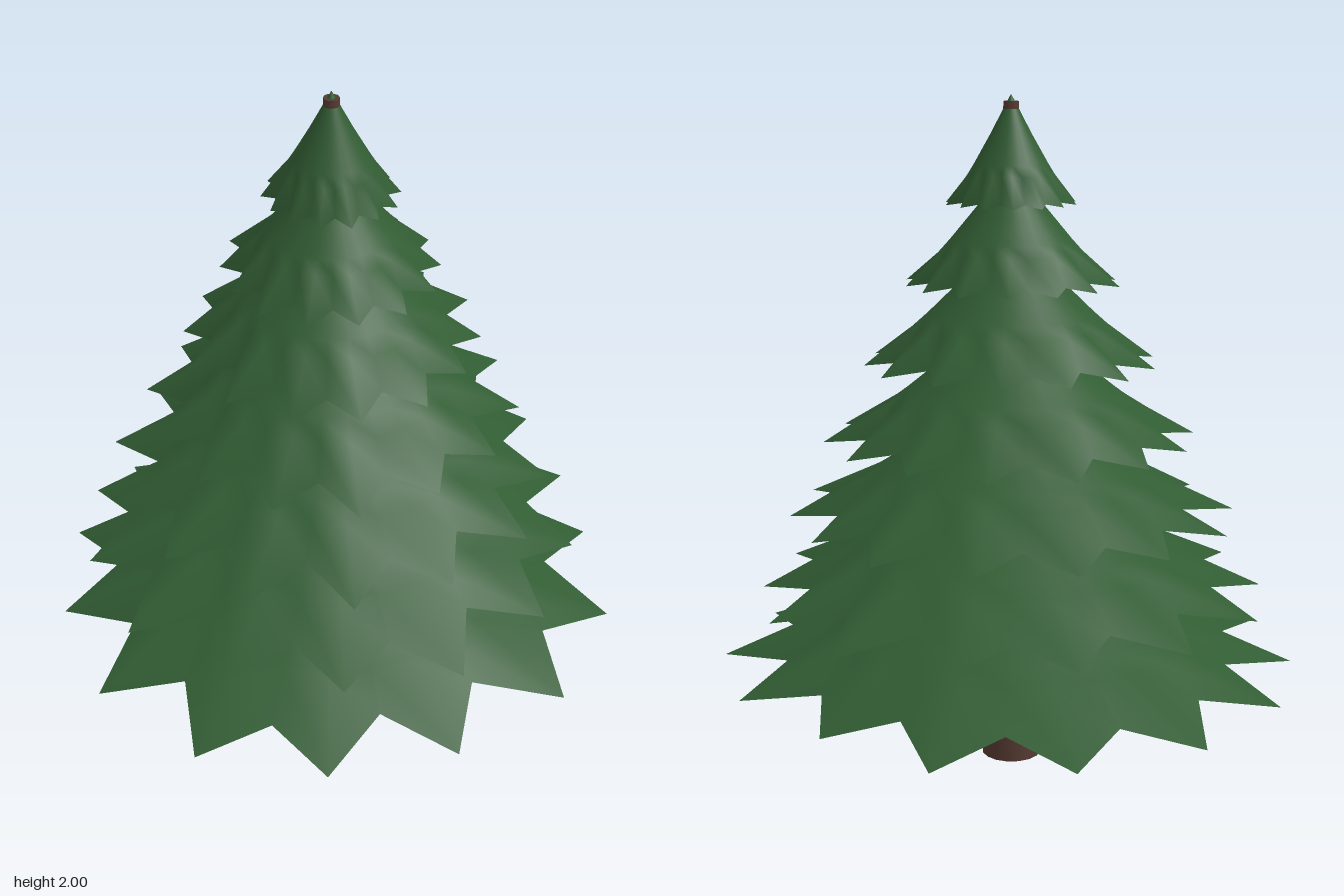
import * as THREE from 'three';

const TIPS = 14;
// hem radii of the lowest tier: tip, notch, tip, notch ... starting at +z
const HEM = [
  0.86, 0.68, 0.89, 0.725, 0.89, 0.69, 0.863, 0.68, 0.815, 0.67, 0.87, 0.70, 0.86, 0.705,
  0.865, 0.68, 0.854, 0.645, 0.84, 0.66, 0.84, 0.655, 0.865, 0.675, 0.873, 0.72, 0.86, 0.675,
];
// flared profile: [share of radius, share of height] from apex to just above the hem
const PROFILE = [[0.0, 1], [0.09, 0.9], [0.2, 0.77], [0.32, 0.63], [0.44, 0.5], [0.56, 0.37], [0.66, 0.27]];

// one skirt of branches with a star-shaped hem
function tierGeometry(radius, height, turn, hem) {
  const n = TIPS * 2;
  const pos = [], index = [];
  const add = (r, y, k) => {
    const a = turn + (k / n) * Math.PI * 2;
    pos.push(Math.sin(a) * r, y, Math.cos(a) * r);
  };
  for (const [r, y] of PROFILE) {
    for (let k = 0; k < n; k++) add(r * radius, y * height, k);
  }
  for (let k = 0; k < n; k++) add(hem(k), k % 2 ? 0.047 * radius : 0, k);
  for (let row = 0; row < PROFILE.length; row++) {
    for (let k = 0; k < n; k++) {
      const a = row * n + k, b = row * n + (k + 1) % n;
      index.push(a, a + n, b + n);
      if (row > 0) index.push(a, b + n, b);
    }
  }
  const g = new THREE.BufferGeometry();
  g.setAttribute('position', new THREE.Float32BufferAttribute(pos, 3));
  g.setIndex(index);
  g.computeVertexNormals();
  return g;
}

export function createModel() {
  const tree = new THREE.Group();
  tree.name = 'firTree';

  const foliage = new THREE.MeshStandardMaterial({ color: 0x315c33, side: THREE.DoubleSide });
  foliage.name = 'foliageGreen';
  const bark = new THREE.MeshStandardMaterial({ color: 0x553a31 });
  bark.name = 'barkBrown';

  // tapered trunk running up to the tip
  const trunk = new THREE.Mesh(new THREE.CylinderGeometry(0.022, 0.09, 1.98, 16), bark);
  trunk.name = 'trunk';
  trunk.position.set(0.005, 0.99, 0.01);
  tree.add(trunk);

  // seven tiers of branches, each turned slightly from the one below
  const radii = [0.86, 0.765, 0.66, 0.545, 0.435, 0.315, 0.19];
  const heights = [0.44, 0.43, 0.42, 0.41, 0.39, 0.35, 0.31];
  radii.forEach((r, i) => {
    const hem = (k) => (i === 0 ? HEM[k] : r * (k % 2 ? 0.79 : 1) * (1 + 0.02 * Math.sin(k * 2.3 + i * 1.7)));
    const tier = new THREE.Mesh(tierGeometry(r, heights[i], i * 0.048, hem), foliage);
    tier.name = 'branchTier' + (i + 1);
    tier.position.set(i ? 0.005 : 0, 0.305 + i * 0.2308, i ? 0.01 : 0);
    tree.add(tier);
  });
  return tree;
}
